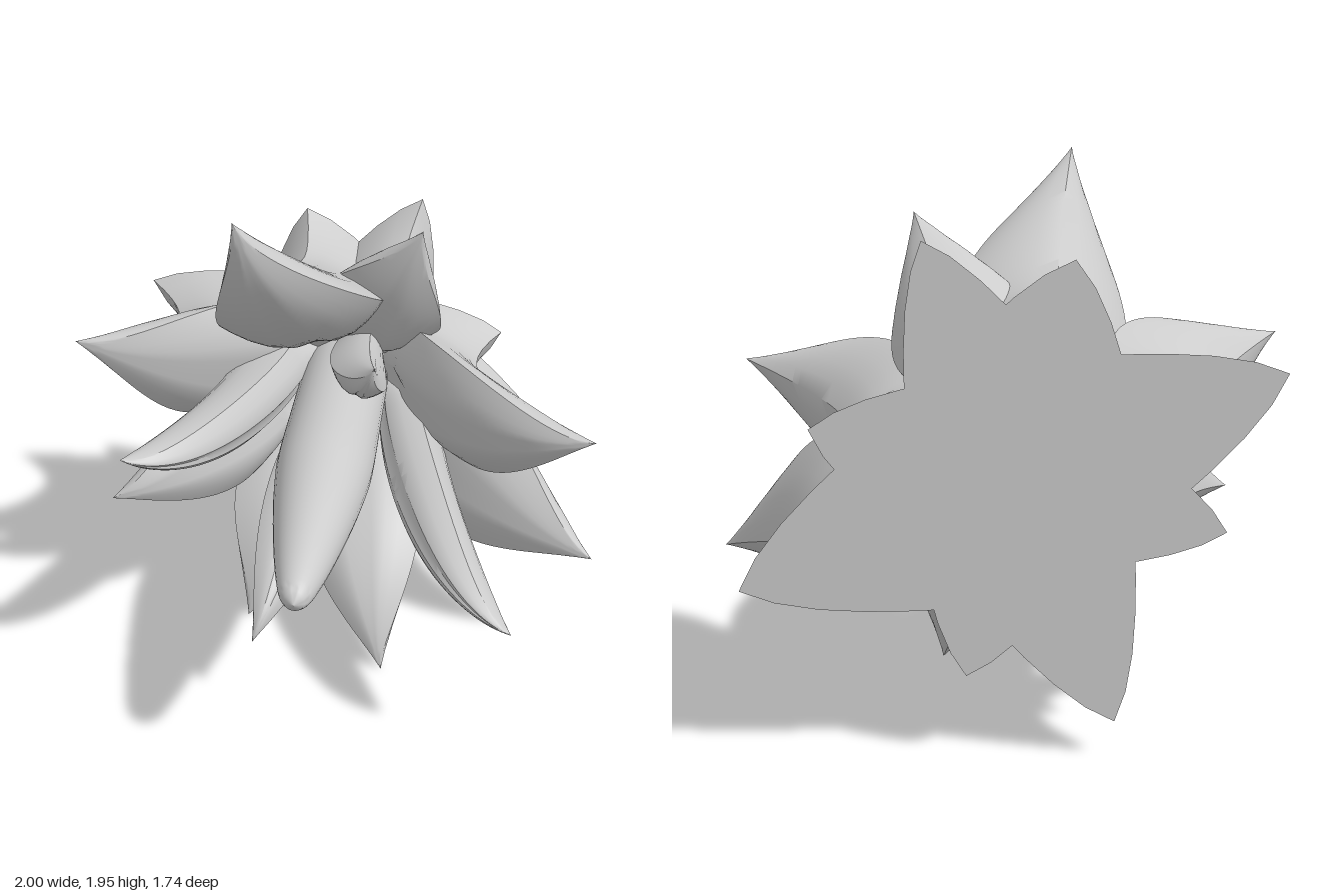
import * as THREE from 'three';
import { toCreasedNormals } from 'three/addons/utils/BufferGeometryUtils.js';

const CX = -0.03, CY = 0.92;      // flower axis, running along z
const BACK = -0.87, WAIST = -0.62; // flat back, and where the petals are narrowest
const { lerp } = THREE.MathUtils;

// tip x, y, z; half width; keel radius at the waist; flare of the keel at the back
const petals = {
  outerPetal: [
    [0.29, 1.73, -0.33, 0.24, 0.66, 0.13],
    [1.0, 0.51, -0.08, 0.29, 0.78, 0.15],
    [-0.39, 0.01, -0.22, 0.26, 0.71, 0.14],
    [-1.0, 1.3, -0.16, 0.27, 0.73, 0.17],
  ],
  middlePetal: [
    [-0.3, 1.96, 0.25, 0.3, 0.6, 0.1],
    [0.94, 1.17, 0.16, 0.26, 0.56, 0.1],
    [0.2, 0.01, 0.07, 0.25, 0.57, 0.08],
    [-0.87, 0.7, -0.01, 0.22, 0.6, 0.08],
  ],
  innerPetal: [
    [0.68, 0.64, 0.59, 0.14, 0.45, 0],
    [-0.68, 1.17, 0.46, 0.13, 0.44, 0],
    [-0.27, 0.33, 0.35, 0.15, 0.42, 0],
    [0.16, 1.41, 0.15, 0.12, 0.32, 0],
  ],
};

// Petal lofted from leaf-shaped slices across z: x is sideways, y is outward
function petalGeometry(R, tipZ, width, waist, flare) {
  const rings = 30, half = 12, n = half * 2;
  const pos = [], index = [];
  for (let i = 0; i <= rings; i++) {
    const z = lerp(tipZ, BACK, (i / rings) ** 2);
    const u = Math.min(1, (tipZ - z) / (tipZ - WAIST)); // 0 at the tip, 1 from the waist on
    const back = Math.max(0, (WAIST - z) / (WAIST - BACK));
    const keel = waist + (R - waist) * Math.pow(1 - u, 1.6) + flare * back * back;
    const front = lerp(R * (0.2 + 0.8 * Math.pow(1 - Math.sqrt(u), 1.25)), -0.05, back);
    const edge = lerp(front, keel, 0.42);
    const w = width * (Math.sin(Math.PI * 0.69 * Math.pow(u, 0.75)) + 0.2 * back);
    const sharp = lerp(0.2, 0.45, u * 0.5 + back * 0.5);
    for (let j = 0; j < n; j++) {
      const outside = j < half;
      const a = ((j % half) / half) * Math.PI;
      const s = outside ? Math.cos(a) : -Math.cos(a);
      const round = 1 - s * s, point = 1 - Math.abs(s);
      const y = outside
        ? edge + (keel - edge) * lerp(round, point, sharp)
        : edge - (edge - front) * (round - 0.25 * point ** 3);
      pos.push(s * w, y, z);
    }
  }
  for (let i = 0; i < rings; i++) {
    for (let j = 0; j < n; j++) {
      const k = (j + 1) % n;
      const a = i * n + j, b = a + n, c = (i + 1) * n + k, d = i * n + k;
      if (i > 0) index.push(a, b, d);
      index.push(b, c, d);
    }
  }
  // flat back cap
  const centre = pos.length / 3;
  pos.push(0, waist * 0.4, BACK);
  for (let j = 0; j < n; j++) index.push(centre, rings * n + ((j + 1) % n), rings * n + j);

  const geo = new THREE.BufferGeometry();
  geo.setAttribute('position', new THREE.Float32BufferAttribute(pos, 3));
  geo.setIndex(index);
  return toCreasedNormals(geo, 0.6);
}

export function createModel() {
  const model = new THREE.Group();
  model.name = 'flower';
  const material = new THREE.MeshStandardMaterial({ color: 0xcccccc });

  // Petals, turned around the axis towards their tips
  for (const [name, list] of Object.entries(petals)) {
    list.forEach(([x, y, z, width, waist, flare], i) => {
      const dx = x - CX, dy = y - CY;
      const mesh = new THREE.Mesh(petalGeometry(Math.hypot(dx, dy), z, width, waist, flare), material);
      mesh.name = `${name}${i + 1}`;
      mesh.position.set(CX, CY, 0);
      mesh.rotation.z = Math.atan2(dy, dx) - Math.PI / 2;
      model.add(mesh);
    });
  }

  // Central bud pointing forward
  const curve = new THREE.SplineCurve([
    [0.18, BACK], [0.18, -0.4], [0.18, 0], [0.165, 0.2], [0.135, 0.42],
    [0.095, 0.65], [0.06, 0.8], [0.035, 0.85],
  ].map(([r, h]) => new THREE.Vector2(r, h)));
  const profile = [new THREE.Vector2(0, BACK), ...curve.getPoints(28), new THREE.Vector2(0, 0.87)];
  const budGeometry = toCreasedNormals(new THREE.LatheGeometry(profile, 32).rotateX(Math.PI / 2), 0.6);
  const bud = new THREE.Mesh(budGeometry, material);
  bud.name = 'centralBud';
  bud.position.set(CX, CY, 0);
  model.add(bud);

  return model;
}
